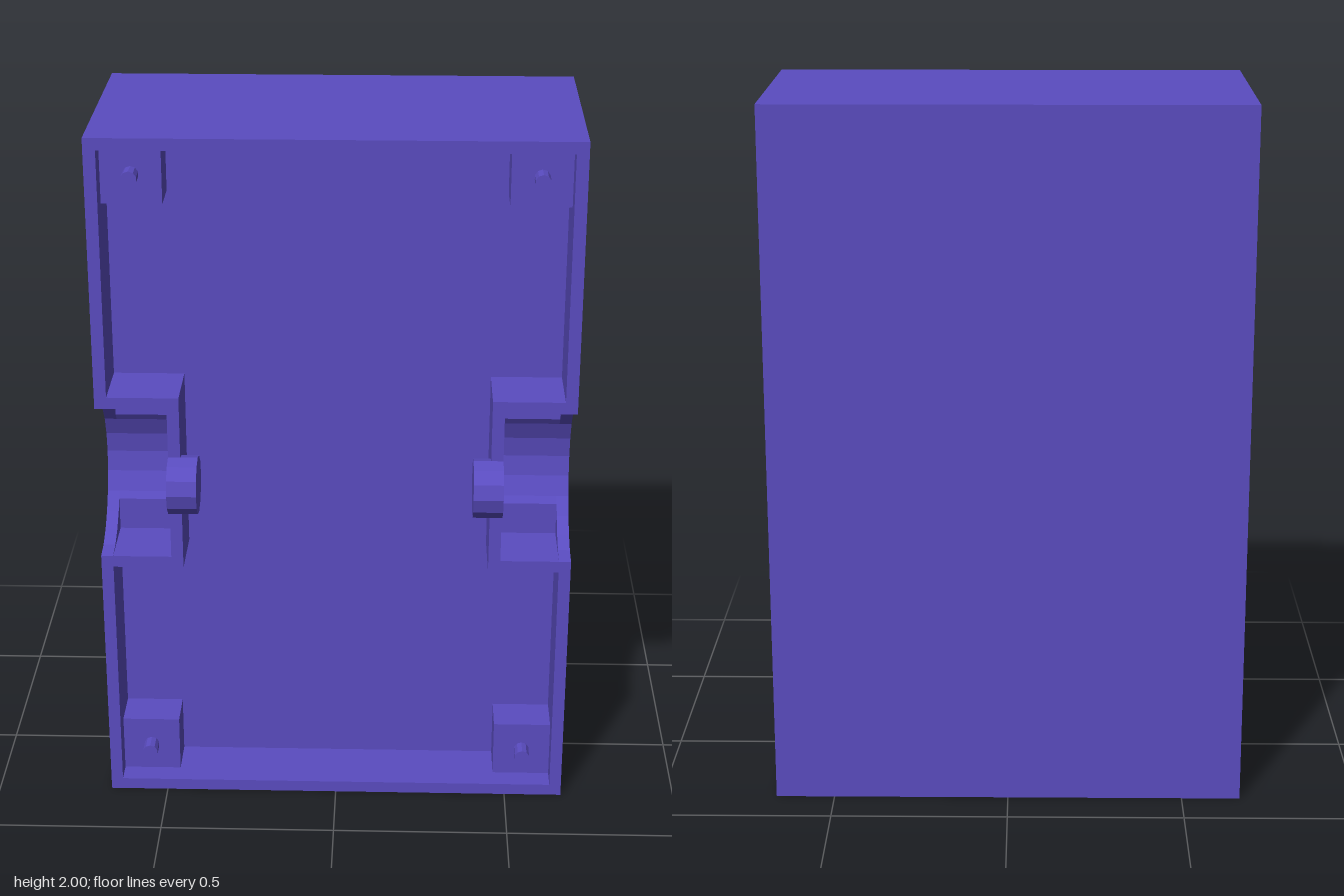
import * as THREE from 'three';

// Main dimensions
const W = 0.667, H = 2, BACK = -0.375, FRONT = 0.292, FLOOR = 0.108, T = 0.034;
const POCKET_X = 0.467, INNER_X = W - T, CUT_R = 0.227, HUB_R = 0.083;

const material = new THREE.MeshStandardMaterial({ color: 0x5a4cc0, flatShading: true });

function add(parent, name, geometry, x = 0, y = 0, z = 0) {
  const mesh = new THREE.Mesh(geometry, material);
  mesh.name = name;
  mesh.position.set(x, y, z);
  parent.add(mesh);
  return mesh;
}

// Box given by its two extreme corners
function block(parent, name, [x0, y0, z0], [x1, y1, z1]) {
  const g = new THREE.BoxGeometry(x1 - x0, y1 - y0, z1 - z0);
  return add(parent, name, g, (x0 + x1) / 2, (y0 + y1) / 2, (z0 + z1) / 2);
}

// Slab from x0 to x1 with a round notch, centred on the rim at mid height, cut into its front
function notchedSlab(parent, name, x0, x1, y0, y1, back, front, radius) {
  const step = Math.PI / 12;
  const end = Math.acos((FRONT - front) / radius);
  const angles = [end];
  for (let k = Math.ceil(end / step) - 1; k * step > -end + 1e-4; k--) {
    if (k * step < end - 1e-4) angles.push(k * step);
  }
  angles.push(-end);
  const points = [
    [-back, y0], [-back, y1], [-front, y1],
    ...angles.map((a) => [-FRONT + radius * Math.cos(a), 1 + radius * Math.sin(a)]),
    [-front, y0],
  ];
  const shape = new THREE.Shape(points.map(([u, v]) => new THREE.Vector2(u, v)));
  const g = new THREE.ExtrudeGeometry(shape, { depth: x1 - x0, bevelEnabled: false });
  g.rotateY(Math.PI / 2);
  return add(parent, name, g, x0);
}

// Everything on the +x side
function createSide() {
  const side = new THREE.Group();

  // Outer wall with the half-round opening, and the floor under the pocket
  notchedSlab(side, 'sideWall', INNER_X, W, 0, H, BACK, FRONT, CUT_R);
  notchedSlab(side, 'pocketFloor', POCKET_X, INNER_X, 0, H, BACK, FLOOR, CUT_R);

  // Pocket walls
  const px = POCKET_X - T;
  for (const y of [1 - CUT_R - T, 1 + CUT_R]) {
    block(side, 'pocketWall', [px, y, FLOOR], [INNER_X, y + T, FRONT]);
  }
  notchedSlab(side, 'pocketInnerWall', px, POCKET_X, 1 - CUT_R, 1 + CUT_R, FLOOR, FRONT, 0.07);

  // Hub with a blind bore that opens into the pocket
  const profile = [[0, 0], [HUB_R, 0], [HUB_R, HUB_R], [0.05, HUB_R], [0.05, 0.033], [0, 0.033]];
  const hub = new THREE.LatheGeometry(profile.map(([r, h]) => new THREE.Vector2(r, h)), 12);
  hub.rotateZ(-Math.PI / 2);
  add(side, 'hub', hub, POCKET_X - HUB_R, 1, FRONT);

  // Corner bosses with locating pins
  for (const [y0, y1, pinY] of [[T, 0.2, 0.117], [H - 0.2, H - T, H - 0.117]]) {
    block(side, 'cornerBoss', [POCKET_X, y0, FLOOR], [INNER_X, y1, 0.227]);
    const pin = new THREE.CylinderGeometry(0.022, 0.022, 0.05, 10);
    pin.rotateX(Math.PI / 2);
    add(side, 'locatingPin', pin, 0.55, pinY, 0.252);
  }
  return side;
}

export function createModel() {
  const model = new THREE.Group();
  model.name = 'enclosureHalf';

  // Thick base between the pockets
  block(model, 'base', [-POCKET_X, 0, BACK], [POCKET_X, H, FLOOR]);

  // Top and bottom rims
  block(model, 'bottomWall', [-INNER_X, 0, FLOOR], [INNER_X, T, FRONT]);
  block(model, 'topWall', [-INNER_X, H - T, FLOOR], [INNER_X, H, FRONT]);

  // Each side is symmetric about mid height, so a half turn makes the other one
  const left = createSide();
  left.name = 'leftSide';
  const right = createSide();
  right.name = 'rightSide';
  right.rotation.z = Math.PI;
  right.position.y = H;
  model.add(left, right);
  return model;
}
